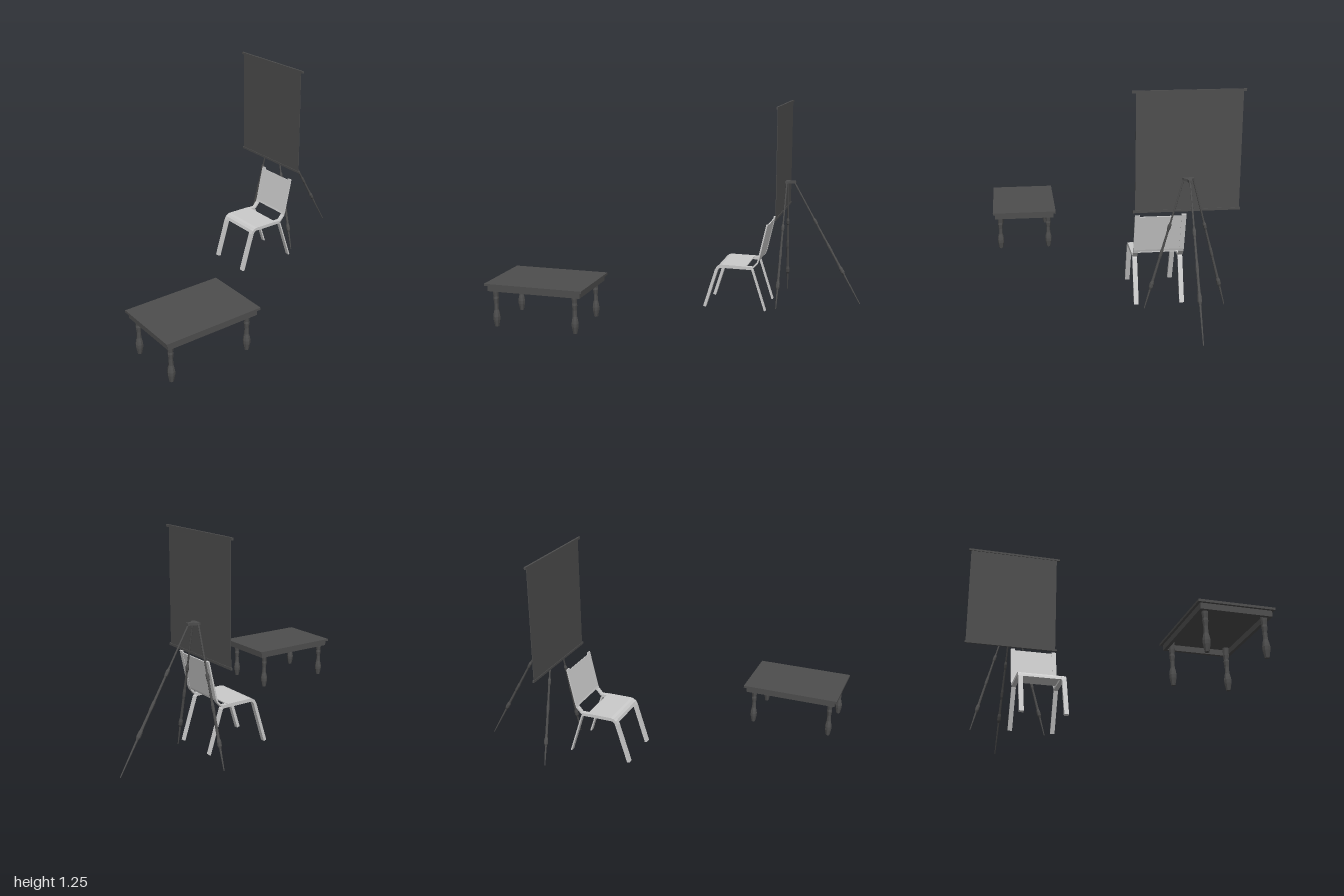
import * as THREE from 'three';

const grey = new THREE.MeshStandardMaterial({ color: 0xcccccc, flatShading: true, side: THREE.DoubleSide });
const dark = new THREE.MeshStandardMaterial({ color: 0x4e4e4e, flatShading: true, side: THREE.DoubleSide });

function add(parent, name, geometry, material) {
  const mesh = new THREE.Mesh(geometry, material);
  mesh.name = name;
  parent.add(mesh);
  return mesh;
}

// Box given by its lower and upper corners
function box(parent, name, a, b, material) {
  const geo = new THREE.BoxGeometry(b[0] - a[0], b[1] - a[1], b[2] - a[2]);
  add(parent, name, geo, material)
    .position.set((a[0] + b[0]) / 2, (a[1] + b[1]) / 2, (a[2] + b[2]) / 2);
}

// Strip of constant thickness along a [z, y] path, extruded over x0..x1
function strip(parent, name, path, thickness, x0, x1, material) {
  const pts = path.map(p => new THREE.Vector2(...p));
  const sides = [1, -1].map(s => pts.map((p, i) => {
    const prev = pts[Math.max(i - 1, 0)], next = pts[Math.min(i + 1, pts.length - 1)];
    const d = next.clone().sub(prev).normalize();
    return new THREE.Vector2(p.x - d.y * s * thickness / 2, p.y + d.x * s * thickness / 2);
  }));
  const shape = new THREE.Shape([...sides[0], ...sides[1].reverse()]);
  const geo = new THREE.ExtrudeGeometry(shape, { depth: x1 - x0, bevelEnabled: false });
  geo.rotateY(-Math.PI / 2); // shape x becomes z, depth becomes -x
  geo.translate(x1, 0, 0);
  add(parent, name, geo, material);
}

// Turned rod from top to foot; profile rows are [fraction from top, radius]
function rod(parent, name, top, foot, profile, material) {
  const a = new THREE.Vector3(...top), d = new THREE.Vector3(...foot).sub(a);
  const length = d.length();
  const pts = profile.map(([t, r]) => new THREE.Vector2(r, -t * length)).reverse();
  const mesh = add(parent, name, new THREE.LatheGeometry(pts, 8), material);
  mesh.position.copy(a);
  mesh.quaternion.setFromUnitVectors(new THREE.Vector3(0, -1, 0), d.normalize());
}

function createTable() {
  const table = new THREE.Group();
  table.name = 'table';
  box(table, 'tableTop', [0.283, 0.272, 0.417], [0.69, 0.285, 1], dark);
  // Apron frame, open underneath
  const x0 = 0.297, x1 = 0.678, z0 = 0.431, z1 = 0.986, t = 0.018;
  box(table, 'apronLeft', [x1 - t, 0.24, z0], [x1, 0.272, z1], dark);
  box(table, 'apronRight', [x0, 0.24, z0], [x0 + t, 0.272, z1], dark);
  box(table, 'apronFront', [x0 + t, 0.24, z1 - t], [x1 - t, 0.272, z1], dark);
  box(table, 'apronBack', [x0 + t, 0.24, z0], [x1 - t, 0.272, z0 + t], dark);
  // Turned legs
  const profile = [[0, 0], [0, 0.017], [0.18, 0.017], [0.28, 0.014], [0.33, 0.016],
    [0.45, 0.012], [0.6, 0.013], [0.68, 0.018], [0.76, 0.021], [0.84, 0.02], [1, 0.012], [1, 0]];
  for (const x of [0.331, 0.644])
    for (const z of [0.475, 0.953])
      rod(table, 'tableLeg', [x, 0.272, z], [x, 0.027, z], profile, dark);
  return table;
}

function createChair() {
  const chair = new THREE.Group();
  chair.name = 'chair';
  const x0 = -0.396, x1 = -0.107, w = 0.027;
  for (const x of [x0, x1 - w]) {
    // Front leg bending into the seat rail
    strip(chair, 'frontLegAndRail', [[-0.07, 0], [-0.143, 0.236], [-0.152, 0.253],
      [-0.17, 0.263], [-0.365, 0.262]], 0.018, x, x + w, grey);
    strip(chair, 'rearLeg', [[-0.355, 0.262], [-0.368, 0.25], [-0.449, 0]], 0.009, x, x + w, grey);
    strip(chair, 'backPost', [[-0.355, 0.26], [-0.37, 0.266], [-0.398, 0.298],
      [-0.404, 0.315], [-0.453, 0.535]], 0.009, x, x + w, grey);
  }
  // Seat sheet rolled over the front edge, and the back panel
  strip(chair, 'seat', [[-0.143, 0.24], [-0.15, 0.256], [-0.162, 0.267],
    [-0.178, 0.271], [-0.33, 0.27]], 0.006, x0, x1, grey);
  strip(chair, 'backPanel', [[-0.4, 0.303], [-0.404, 0.315], [-0.45, 0.525]], 0.006, x0, x1, grey);
  return chair;
}

function createScreen() {
  const screen = new THREE.Group();
  screen.name = 'screenOnTripod';
  box(screen, 'screenSheet', [-0.677, 0.58, -0.508], [-0.099, 1.235, -0.505], dark);
  box(screen, 'topBar', [-0.692, 1.23, -0.512], [-0.077, 1.243, -0.501], dark);
  box(screen, 'bottomBar', [-0.682, 0.57, -0.511], [-0.087, 0.583, -0.502], dark);

  // Tripod head plate with three corners
  const cx = -0.386;
  const plate = new THREE.Shape([[-0.03, 0.518], [0.03, 0.518], [0.03, 0.532], [0.012, 0.552],
    [0.009, 0.582], [-0.009, 0.582], [-0.012, 0.552], [-0.03, 0.532]].map(p => new THREE.Vector2(...p)));
  const geo = new THREE.ExtrudeGeometry(plate, { depth: 0.014, bevelEnabled: false });
  geo.rotateX(-Math.PI / 2);
  add(screen, 'tripodHead', geo, dark).position.set(cx, 0.752, 0);

  // Telescoping legs with collars at the joints
  const leg = (a, b, c) => [[0, 0], [0, 0.005], [a - 0.02, 0.005], [a, 0.01], [a + 0.03, 0.009],
    [a + 0.04, 0.006], [b - 0.04, 0.007], [b - 0.02, 0.009], [b + 0.02, 0.009], [b + 0.04, 0.007],
    [c - 0.04, 0.008], [c - 0.02, 0.012], [c + 0.01, 0.012], [c + 0.03, 0.006], [1, 0.003], [1, 0]];
  for (const s of [-1, 1])
    rod(screen, 'frontTripodLeg', [cx + s * 0.026, 0.76, -0.528], [cx + s * 0.229, 0.003, -0.508],
      leg(0.35, 0.57, 0.82), dark);
  rod(screen, 'rearTripodLeg', [cx, 0.76, -0.57], [cx, 0.007, -0.998], leg(0.31, 0.54, 0.73), dark);
  return screen;
}

export function createModel() {
  const model = new THREE.Group();
  model.name = 'viewingSet';
  model.add(createTable(), createChair(), createScreen());
  return model;
}
